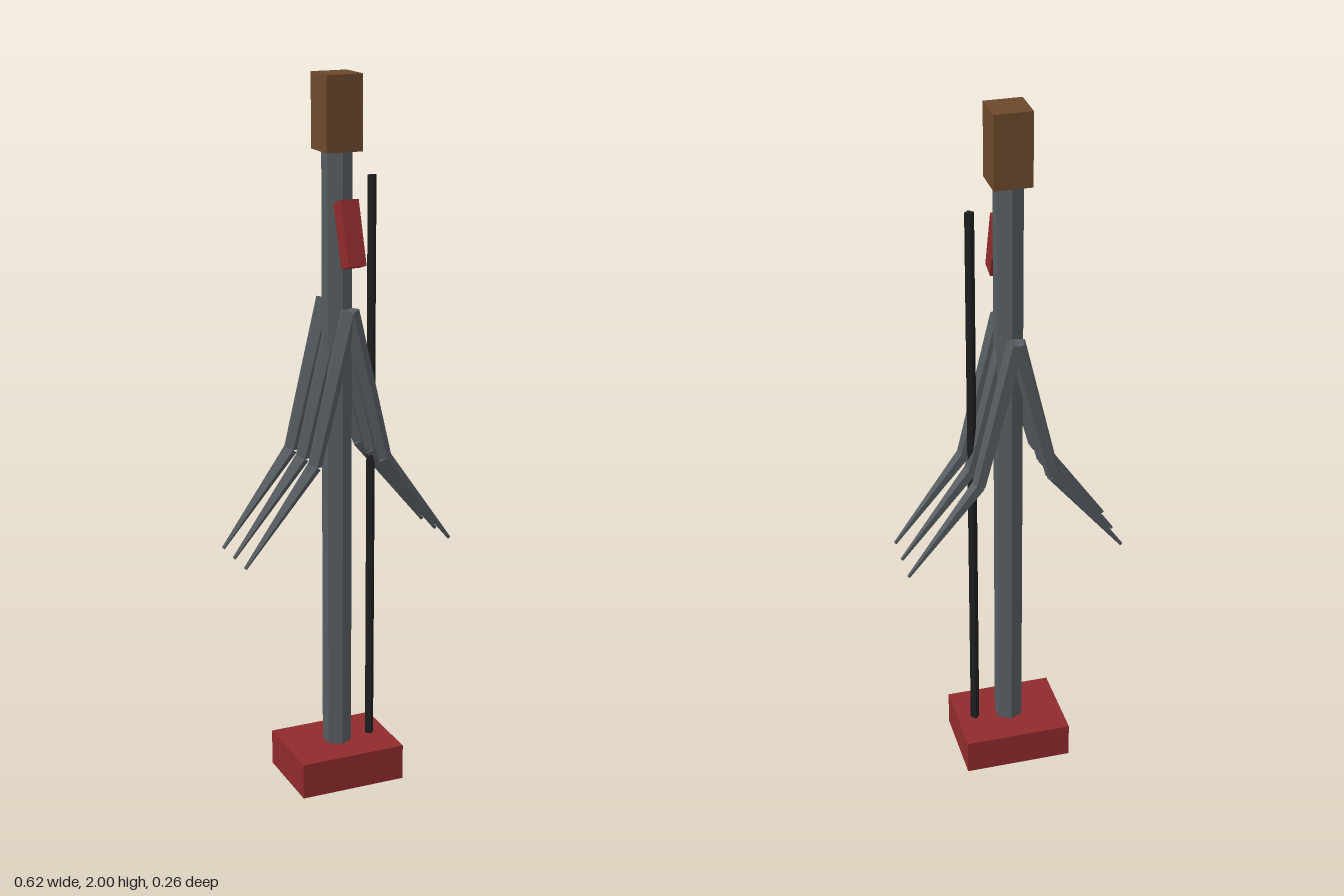
import * as THREE from 'three';

const mat = (name, color) => {
  const m = new THREE.MeshStandardMaterial({ color, flatShading: true });
  m.name = name;
  return m;
};

export function createModel() {
  const model = new THREE.Group();
  model.name = 'branchedPole';
  const red = mat('red', 0x8f2a2c);
  const brown = mat('brown', 0x6b482b);
  const grey = mat('steelGrey', 0x555b60);
  const black = mat('black', 0x1b1d1e);
  const axisZ = -0.0085;

  const add = (name, geometry, material, x, y, z, parent = model) => {
    const mesh = new THREE.Mesh(geometry, material);
    mesh.name = name;
    mesh.position.set(x, y, z);
    parent.add(mesh);
    return mesh;
  };

  // Base, hexagonal pole and top block
  add('base', new THREE.BoxGeometry(0.308, 0.103, 0.239), red, 0, 0.0515, axisZ);
  add('pole', new THREE.CylinderGeometry(0.041, 0.041, 1.7, 6), grey, 0, 0.953, axisZ);
  add('topBlock', new THREE.BoxGeometry(0.103, 0.2, 0.103), brown, 0, 1.9, axisZ);

  // Tilted plate in front of the pole
  const plate = add('tiltedPlate', new THREE.BoxGeometry(0.051, 0.175, 0.051), red, 0, 1.592, 0.077);
  plate.rotation.x = -0.3;

  // Thin four-sided rod beside the pole
  add('rod', new THREE.CylinderGeometry(0.013, 0.013, 1.63, 4), black, 0.102, 0.914, axisZ);

  // Tapered five-sided segment running down from a to b in the xy plane
  const segment = (name, a, b, rTop, rBottom, z, parent) => {
    const dx = b[0] - a[0], dy = a[1] - b[1];
    const geometry = new THREE.CylinderGeometry(rTop, rBottom, Math.hypot(dx, dy), 5);
    const mesh = add(name, geometry, grey, (a[0] + b[0]) / 2, (a[1] + b[1]) / 2, z, parent);
    mesh.rotation.z = Math.atan2(dx, dy);
  };

  // Three rows of mirrored drooping branches
  for (const z of [-0.094, axisZ, 0.077]) {
    for (const side of [-1, 1]) {
      const branch = new THREE.Group();
      branch.name = side > 0 ? 'leftBranch' : 'rightBranch';
      const elbow = [side * 0.103, 0.97];
      segment('upperBranch', [0, 1.386], elbow, 0.0257, 0.0205, z, branch);
      segment('lowerBranch', elbow, [side * 0.306, 0.705], 0.0205, 0.005, z, branch);
      model.add(branch);
    }
  }
  return model;
}
